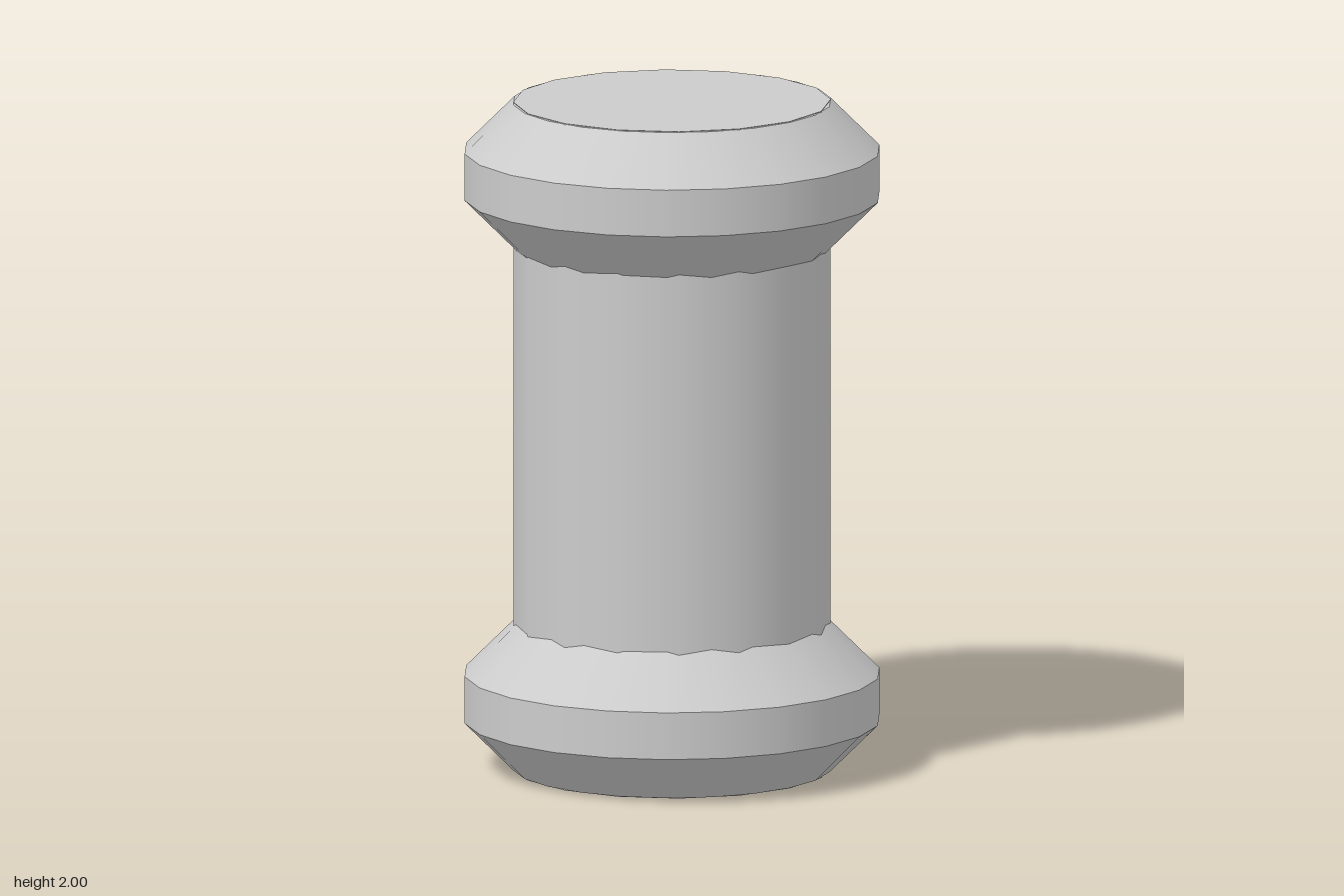
import * as THREE from 'three';

const material = new THREE.MeshStandardMaterial({ color: 0xcccccc });

// Smooth-sided open band between two [radius, y] points, upper point first
function band(name, [rTop, yTop], [rBottom, yBottom]) {
  const geometry = new THREE.CylinderGeometry(
    rTop, rBottom, yTop - yBottom, 22, 1, true, Math.PI / 2);
  const mesh = new THREE.Mesh(geometry, material);
  mesh.position.y = (yTop + yBottom) / 2;
  mesh.name = name;
  return mesh;
}

// Chamfered collar; the profile runs from the outer end towards the body
function collar(name, flipped) {
  const group = new THREE.Group();
  group.name = name;
  const profile = [[0.44, 1.999], [0.47, 1.998], [0.614, 1.854], [0.614, 1.714], [0.45, 1.55]];
  const names = ['endLip', 'outerChamfer', 'rim', 'innerChamfer'];
  const mirror = ([r, y]) => [r, 2 - y];
  names.forEach((part, i) => {
    const a = profile[i], b = profile[i + 1];
    group.add(flipped ? band(part, mirror(b), mirror(a)) : band(part, a, b));
  });
  return group;
}

export function createModel() {
  const model = new THREE.Group();
  model.name = 'spool';

  // Central 16-sided core, full height, whose caps close both ends
  const core = new THREE.Mesh(new THREE.CylinderGeometry(0.467, 0.467, 2, 16), material);
  core.position.y = 1;
  core.name = 'core';

  model.add(core, collar('topCollar', false), collar('bottomCollar', true));
  return model;
}
